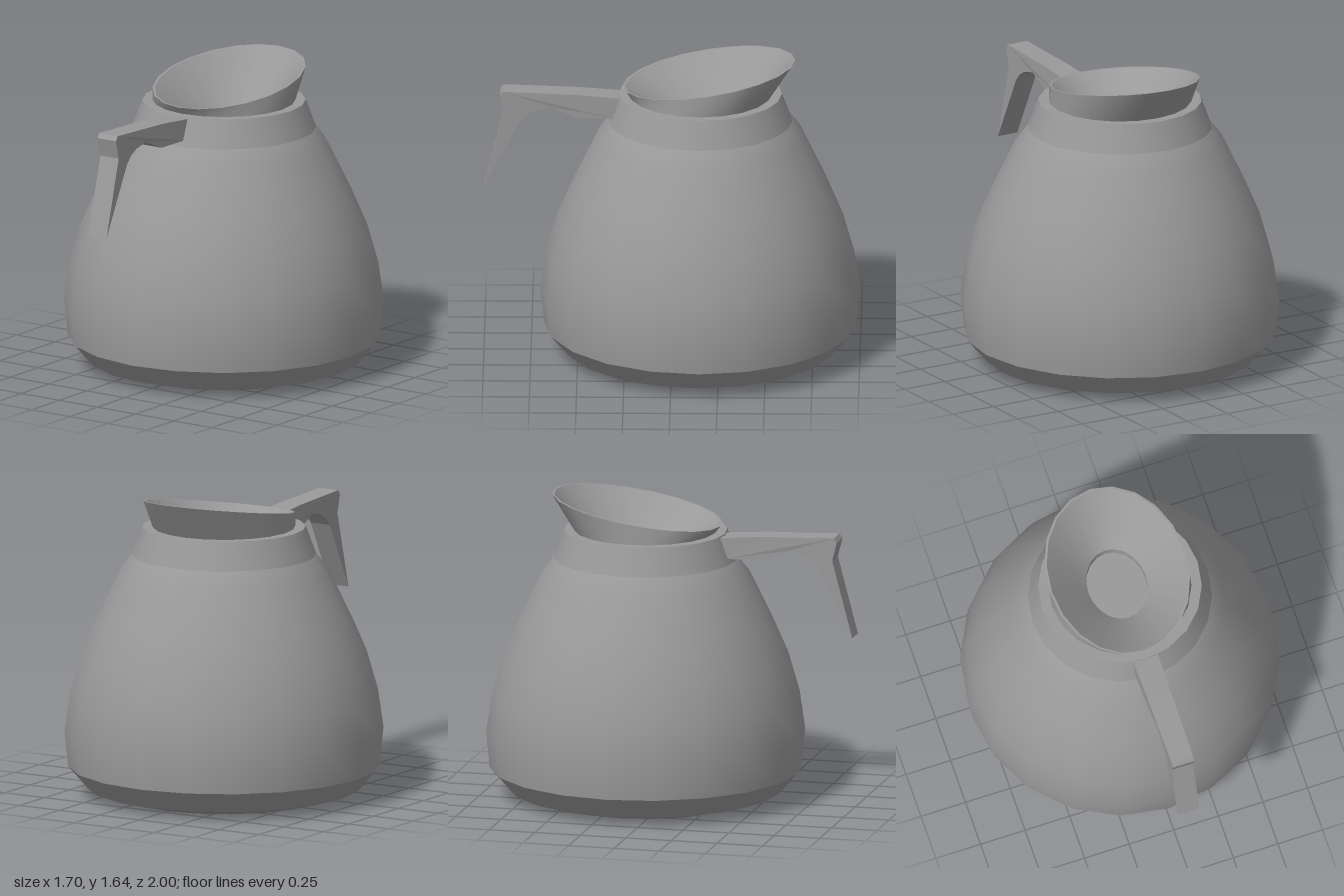
import * as THREE from 'three';

const SIDES = 20;
const BODY_Z = -0.15;

// Joins loops of vertices into a smooth skin; each ring is [halfWidth, zFront, zBack, yFront, yBack]
function skin(rings) {
  const pos = [], index = [];
  for (const [rx, zf, zb, yf, yb] of rings) {
    for (let i = 0; i < SIDES; i++) {
      const a = (i / SIDES) * Math.PI * 2;
      const t = (1 - Math.cos(a)) / 2;
      pos.push(rx * Math.sin(a), yf + (yb - yf) * t, zf + (zb - zf) * t);
    }
  }
  for (let r = 0; r < rings.length - 1; r++) {
    for (let i = 0; i < SIDES; i++) {
      const j = (i + 1) % SIDES;
      const a = r * SIDES + i, b = r * SIDES + j;
      index.push(a, b, b + SIDES, a, b + SIDES, a + SIDES);
    }
  }
  const g = new THREE.BufferGeometry();
  g.setAttribute('position', new THREE.Float32BufferAttribute(pos, 3));
  g.setIndex(index);
  g.computeVertexNormals();
  return g;
}

export function createModel() {
  const group = new THREE.Group();
  group.name = 'coffeePot';
  const grey = new THREE.MeshStandardMaterial({ color: 0x999999, side: THREE.DoubleSide });
  grey.name = 'grey';

  const add = (name, geometry, z = 0) => {
    const mesh = new THREE.Mesh(geometry, grey);
    mesh.name = name;
    mesh.position.z = z;
    group.add(mesh);
  };
  const lathe = (name, profile) => add(name,
    new THREE.LatheGeometry(profile.map(([r, y]) => new THREE.Vector2(r, y)), SIDES), BODY_Z);

  // Round pot, split where its edges are sharp
  lathe('underside', [[0, 0], [0.58, 0.003], [0.73, 0.045]]);
  lathe('baseBand', [[0.73, 0.045], [0.83, 0.16]]);
  lathe('body', [[0.83, 0.16], [0.85, 0.35], [0.82, 0.56], [0.76, 0.77],
    [0.68, 0.955], [0.555, 1.215], [0.49, 1.3]]);
  lathe('collar', [[0.49, 1.3], [0.435, 1.45]]);
  lathe('collarTop', [[0.435, 1.45], [0.375, 1.45]]);

  // Slanted pouring funnel
  const foot = [0.38, 0.23, -0.53, 1.45, 1.45];
  const rimOuter = [0.38, 0.262, -0.655, 1.49, 1.64];
  const rimInner = [0.367, 0.25, -0.643, 1.49, 1.64];
  const hole = [0.16, 0, -0.4, 1.35, 1.35];
  const well = [0.16, 0, -0.4, 1.3, 1.3];
  add('spoutOutside', skin([foot, rimOuter]));
  add('spoutRim', skin([rimOuter, rimInner]));
  add('funnel', skin([rimInner, hole]));
  add('funnelWell', skin([hole, well]));
  add('wellFloor', skin([well, [0, -0.2, -0.2, 1.3, 1.3]]));

  // Handle: side outline as (z, y), slightly wider next to the pot
  const outline = [[0.26, 1.44], [0.505, 1.46], [0.9, 1.475], [0.915, 1.45], [0.89, 1.35],
    [1.0, 0.935], [0.815, 1.3], [0.78, 1.34], [0.73, 1.37], [0.645, 1.39],
    [0.505, 1.33], [0.3, 1.33]];
  const shape = new THREE.Shape(outline.map(([z, y]) => new THREE.Vector2(z, y)));
  const handle = new THREE.ExtrudeGeometry(shape, { depth: 2, bevelEnabled: false });
  handle.translate(0, 0, -1);
  handle.rotateY(-Math.PI / 2);
  const p = handle.attributes.position;
  for (let i = 0; i < p.count; i++) {
    const t = THREE.MathUtils.clamp((p.getZ(i) - 0.3) / 0.35, 0, 1);
    p.setX(i, p.getX(i) * THREE.MathUtils.lerp(0.07, 0.06, t));
  }
  handle.computeVertexNormals();
  add('handle', handle);

  return group;
}
